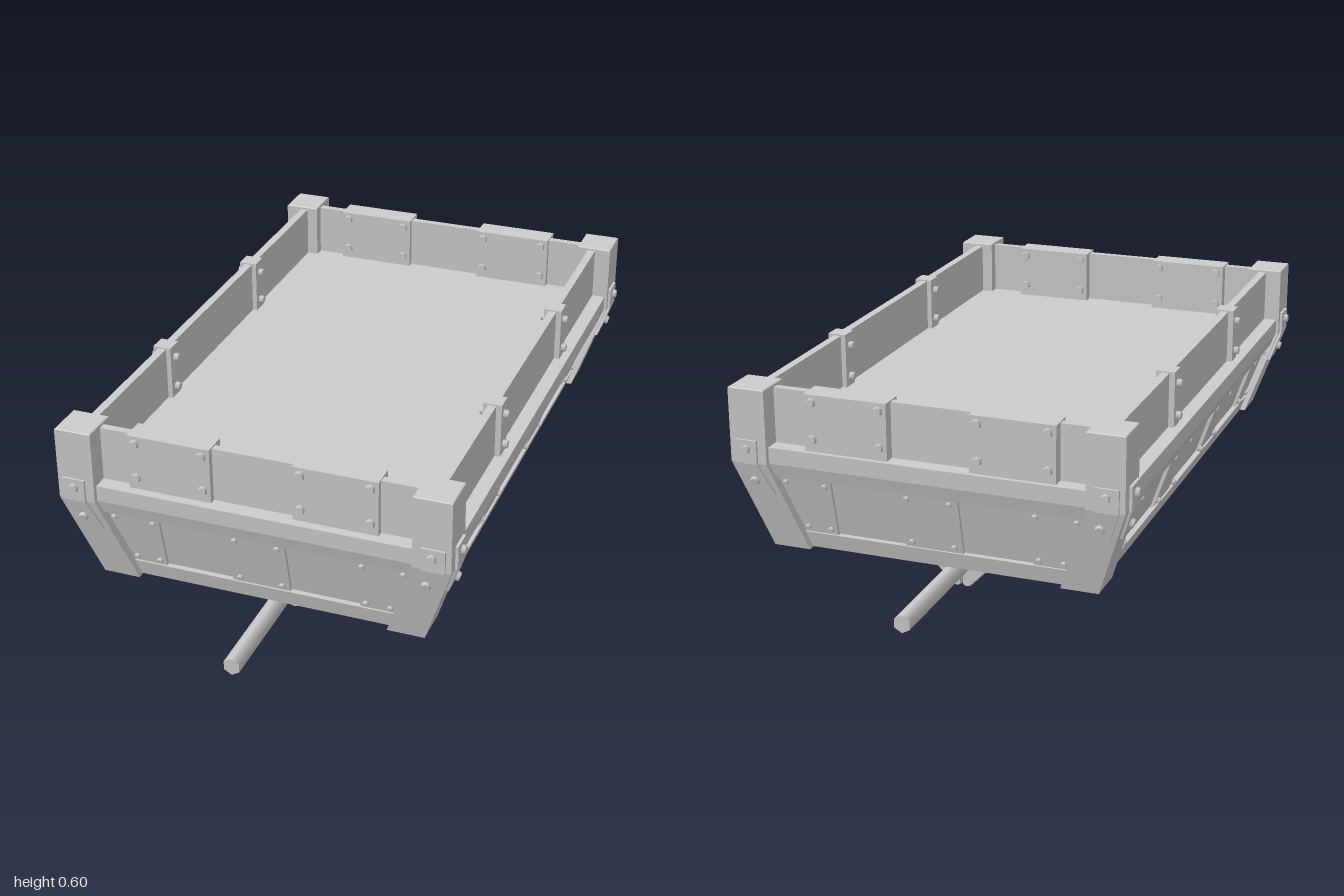
import * as THREE from 'three';

const flat = new THREE.MeshStandardMaterial({ color: 0xcccccc, flatShading: true });
const smooth = new THREE.MeshStandardMaterial({ color: 0xcccccc });

// Inward lean of the lower body below the bend
const BEND = 0.39;
const leanX = y => 0.34 * Math.max(0, BEND - y);
const leanZ = y => 0.235 * Math.max(0, BEND - y);

// Solid through rectangular sections [y, xa, xb, za, zb], listed from bottom to top
function loft(sections) {
  const pos = [];
  const rings = sections.map(([y, xa, xb, za, zb]) => {
    const x0 = Math.min(xa, xb), x1 = Math.max(xa, xb);
    const z0 = Math.min(za, zb), z1 = Math.max(za, zb);
    return [[x0, y, z1], [x1, y, z1], [x1, y, z0], [x0, y, z0]];
  });
  const quad = (a, b, c, d) => pos.push(...a, ...b, ...c, ...a, ...c, ...d);
  for (let i = 0; i < rings.length - 1; i++) {
    for (let k = 0; k < 4; k++) {
      const n = (k + 1) % 4;
      quad(rings[i][k], rings[i][n], rings[i + 1][n], rings[i + 1][k]);
    }
  }
  const low = rings[0], top = rings[rings.length - 1];
  quad(low[3], low[2], low[1], low[0]);
  quad(top[0], top[1], top[2], top[3]);
  const geo = new THREE.BufferGeometry();
  geo.setAttribute('position', new THREE.Float32BufferAttribute(pos, 3));
  geo.computeVertexNormals();
  return geo;
}

export function createModel() {
  const model = new THREE.Group();
  model.name = 'cargoTray';

  const add = (name, geo, material = flat) => {
    const mesh = new THREE.Mesh(geo, material);
    mesh.name = name;
    model.add(mesh);
    return mesh;
  };
  const box = (name, x0, x1, y0, y1, z0, z1) =>
    add(name, loft([[y0, x0, x1, z0, z1], [y1, x0, x1, z0, z1]]));
  const up = new THREE.Vector3(0, 1, 0);
  const bolt = (x, y, z, nx, ny, nz, r, h = 0.012) => {
    const mesh = add('bolt', new THREE.CylinderGeometry(r * 0.85, r, h, 6), smooth);
    mesh.position.set(x, y, z);
    mesh.quaternion.setFromUnitVectors(up, new THREE.Vector3(nx, ny, nz).normalize());
  };

  // Hull: framed underside, bottom beam, recessed leaning panels, rim, flat deck
  const ring = (y, inset) => {
    const x = 0.538 - inset - leanX(y), z = 0.848 - inset - leanZ(y);
    return [y, -x, x, -z, z];
  };
  add('hull', loft([
    ring(0.142, 0.08), ring(0.139, 0.08), ring(0.139, 0.008), ring(0.185, 0.008),
    ring(0.185, 0.024), ring(0.352, 0.024), ring(0.352, 0.002), ring(BEND, 0), ring(0.435, 0),
  ]));

  // Upright boards around the deck
  for (const s of [-1, 1]) {
    box('sideBoard', s * 0.475, s * 0.498, 0.43, 0.588, -0.78, 0.78);
    box('endBoard', -0.47, 0.47, 0.43, 0.588, s * 0.782, s * 0.804);
  }

  // Bent corner posts with strap plates and bolts on both outer faces
  const strapY = [0.303, BEND, 0.455];
  for (const sx of [-1, 1]) for (const sz of [-1, 1]) {
    const postRing = (y, e = 0) => {
      const cx = 0.494 - leanX(y), cz = 0.806 - leanZ(y), rx = 0.052 - e, rz = 0.055 - e;
      return [y, sx * (cx - rx), sx * (cx + rx), sz * (cz - rz), sz * (cz + rz)];
    };
    add('cornerPost', loft([
      postRing(0.138), postRing(BEND), postRing(0.594), postRing(0.596, 0.002),
    ]));
    // Straps widen slightly towards the inside below the bend
    add('endStrap', loft(strapY.map(y => {
      const cx = 0.499 - leanX(y), cz = 0.806 - leanZ(y), wide = 0.3 * leanX(y);
      return [y, sx * (cx - 0.032 - wide), sx * (cx + 0.032), sz * (cz + 0.04), sz * (cz + 0.062)];
    })));
    add('sideStrap', loft(strapY.map(y => {
      const cx = 0.494 - leanX(y), cz = 0.799 - leanZ(y), wide = 0.3 * leanZ(y);
      return [y, sx * (cx + 0.04), sx * (cx + 0.06), sz * (cz - 0.032 - wide), sz * (cz + 0.032)];
    })));
    for (const y of [0.43, 0.34]) {
      const ny = y < BEND ? -0.28 : 0;
      const cx = 0.497 - leanX(y), cz = 0.799 - leanZ(y);
      bolt(sx * cx, y, sz * (cz + 0.073), 0, ny, sz, 0.014);
      bolt(sx * (cx + 0.062), y, sz * cz, sx, ny, 0, 0.014);
    }
  }

  // Riveted plates on the leaning panels; outer plates run in under the posts
  const plateY = [0.185, 0.352], rivetY = [0.2, 0.333];
  for (const s of [-1, 1]) {
    const endFace = y => 0.824 - leanZ(y), sideFace = y => 0.514 - leanX(y);
    const endPlate = (a, b) => add('endPlate', loft(plateY.map(y =>
      [y, a(y), b(y), s * (endFace(y) - 0.01), s * (endFace(y) + 0.01)])));
    const sidePlate = (a, b) => add('sidePlate', loft(plateY.map(y =>
      [y, s * (sideFace(y) - 0.01), s * (sideFace(y) + 0.01), a(y), b(y)])));
    const endRivet = (x, y) => bolt(x, y, s * (endFace(y) + 0.013), 0, -0.24, s, 0.009);
    const sideRivet = (z, y) => bolt(s * (sideFace(y) + 0.013), y, z, s, -0.34, 0, 0.009);

    endPlate(() => -0.083, () => 0.081);
    for (const m of [-1, 1]) {
      endPlate(() => m * 0.278, y => m * (0.47 - leanX(y)));
      sidePlate(() => m * 0.155, () => m * 0.305);
      sidePlate(() => m * 0.585, y => m * (0.79 - leanZ(y)));
      for (const y of rivetY) {
        for (const x of [0.06, 0.295, 0.427 - leanX(y)]) endRivet(m * x, y);
        for (const z of [0.143, 0.29, 0.6, 0.735 - leanZ(y)]) sideRivet(m * z, y);
      }
    }
  }

  // Wide clamps over the end boards, narrow clips over the side boards
  for (const s of [-1, 1]) {
    const zc = s > 0 ? 0.787 : -0.8;
    for (const cx of [-0.239, 0.223]) {
      box('endClamp', cx - 0.117, cx + 0.117, 0.432, 0.592, zc - 0.035, zc + 0.035);
      for (const dx of [-0.095, 0.095]) for (const y of [0.469, 0.57]) for (const d of [-1, 1]) {
        bolt(cx + dx, y, zc + d * 0.039, 0, 0, d, 0.014);
      }
    }
    for (const cz of [-0.308, 0.308]) {
      box('sideClip', s * 0.461, s * 0.514, 0.432, 0.592, cz - 0.026, cz + 0.026);
      for (const y of [0.463, 0.555]) for (const d of [-1, 1]) {
        bolt(s * 0.4875 + d * 0.032, y, cz, d, 0, 0, 0.013, 0.016);
      }
    }
  }

  // Split hangers and centre housing under the floor, with bevelled edges
  const bearing = (name, z0, z1) => {
    const bevel = 0.006;
    for (const s of [-1, 1]) {
      const shape = new THREE.Shape([
        [0.002, 0.155], [0.074, 0.155], [0.074, 0.054], [0.025, 0.003], [0.012, 0], [0.002, 0.007],
      ].map(([x, y]) => new THREE.Vector2(s * x, y)));
      const geo = new THREE.ExtrudeGeometry(shape, {
        depth: z1 - z0 - 2 * bevel, bevelThickness: bevel,
        bevelSize: bevel / 2, bevelOffset: -bevel / 2, bevelSegments: 1,
      });
      geo.translate(0, 0, z0 + bevel);
      add(name, geo);
    }
  };
  bearing('hanger', 0.502, 0.605);
  bearing('hanger', -0.605, -0.502);
  bearing('centreHousing', -0.192, 0.195);

  // Long six-sided rod through the hangers
  const rod = add('rod', new THREE.CylinderGeometry(0.025, 0.025, 2, 6), smooth);
  rod.rotation.x = Math.PI / 2;
  rod.position.y = 0.066;

  return model;
}
